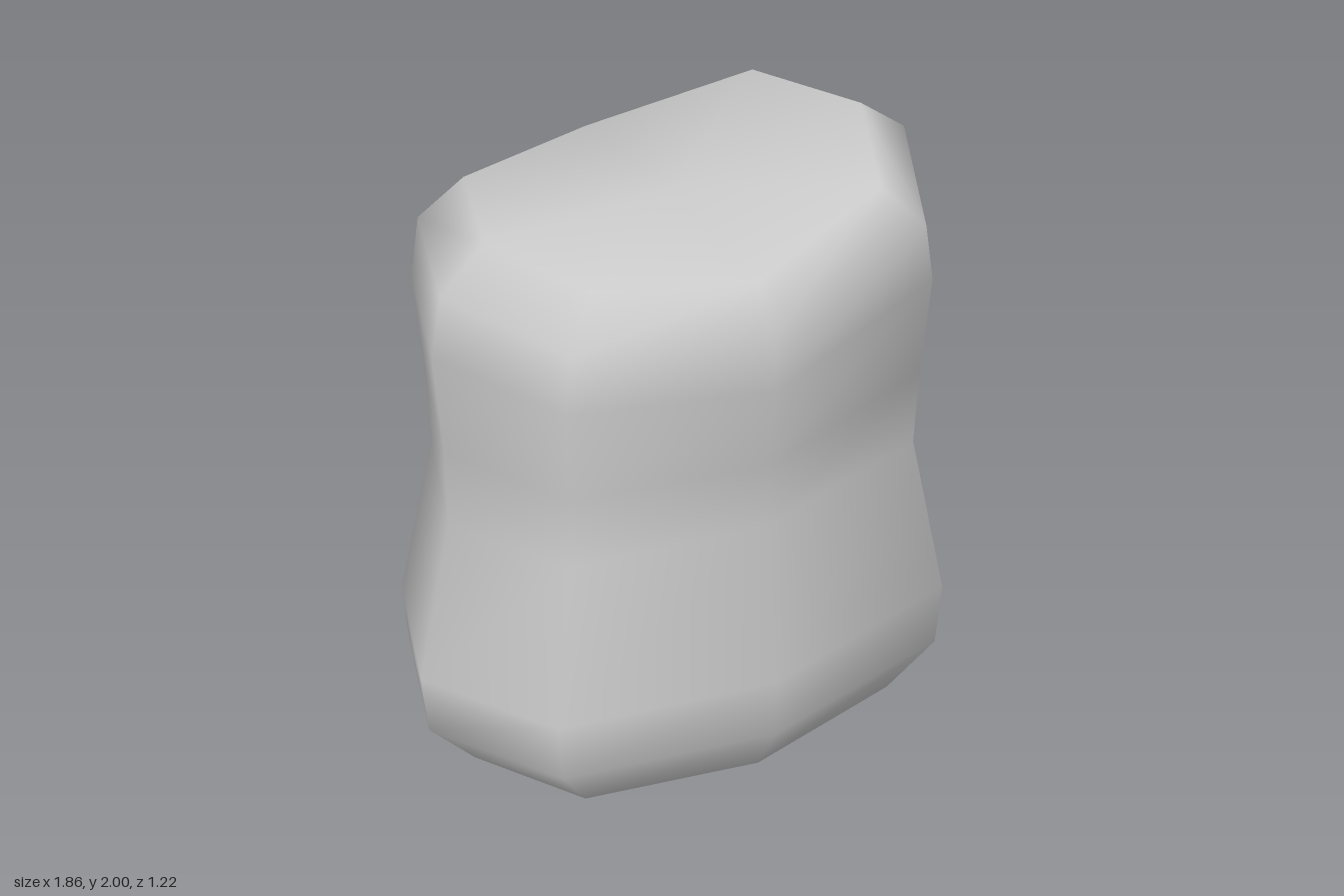
import * as THREE from 'three';

// Rings from bottom to top: half width, height at the sides, half depth, height at front/back
const RINGS = [
  [0.73, 0.035, 0.50, 0.035],
  [0.90, 0.205, 0.60, 0.205],
  [0.93, 0.41, 0.61, 0.41],
  [0.83, 0.97, 0.545, 0.97],
  [0.845, 1.25, 0.57, 1.22],
  [0.89, 1.63, 0.60, 1.52],
  [0.86, 1.85, 0.60, 1.72],
  [0.70, 2.0, 0.50, 1.88],
];
const BOTTOM_Y = 0.005, TOP_Y = 1.94;
const SIDES = 8;

// Eight-sided cross-section: corners sit a little outside the ellipse
function ringPoint([w, sideY, d, frontY], i) {
  const a = (i / SIDES) * Math.PI * 2;
  const corner = i % 2 === 1;
  const x = corner ? Math.sign(Math.cos(a)) * 0.765 : Math.round(Math.cos(a));
  const z = corner ? Math.sign(Math.sin(a)) * 0.745 : Math.round(Math.sin(a));
  const t = corner ? 0.72 : Math.abs(x);
  return [x * w, frontY + (sideY - frontY) * t, z * d];
}

function pillowGeometry() {
  const positions = [];
  const index = [];
  for (const ring of RINGS) {
    for (let i = 0; i < SIDES; i++) positions.push(...ringPoint(ring, i));
  }
  const bottom = RINGS.length * SIDES;
  const top = bottom + 1;
  positions.push(0, BOTTOM_Y, 0, 0, TOP_Y, 0);

  const last = (RINGS.length - 1) * SIDES;
  for (let i = 0; i < SIDES; i++) {
    const j = (i + 1) % SIDES;
    // Wall between neighbouring rings
    for (let r = 0; r < last; r += SIDES) {
      const a = r + i, b = r + j, c = a + SIDES, d = b + SIDES;
      index.push(a, c, b, b, c, d);
    }
    // Bottom and top caps
    index.push(bottom, i, j);
    index.push(top, last + j, last + i);
  }

  const geometry = new THREE.BufferGeometry();
  geometry.setAttribute('position', new THREE.Float32BufferAttribute(positions, 3));
  geometry.setIndex(index);
  geometry.computeVertexNormals();
  return geometry;
}

export function createModel() {
  const model = new THREE.Group();
  model.name = 'pillowBlock';

  const grey = new THREE.MeshStandardMaterial({ color: 0xcccccc });
  grey.name = 'lightGrey';

  const body = new THREE.Mesh(pillowGeometry(), grey);
  body.name = 'body';
  model.add(body);
  return model;
}
